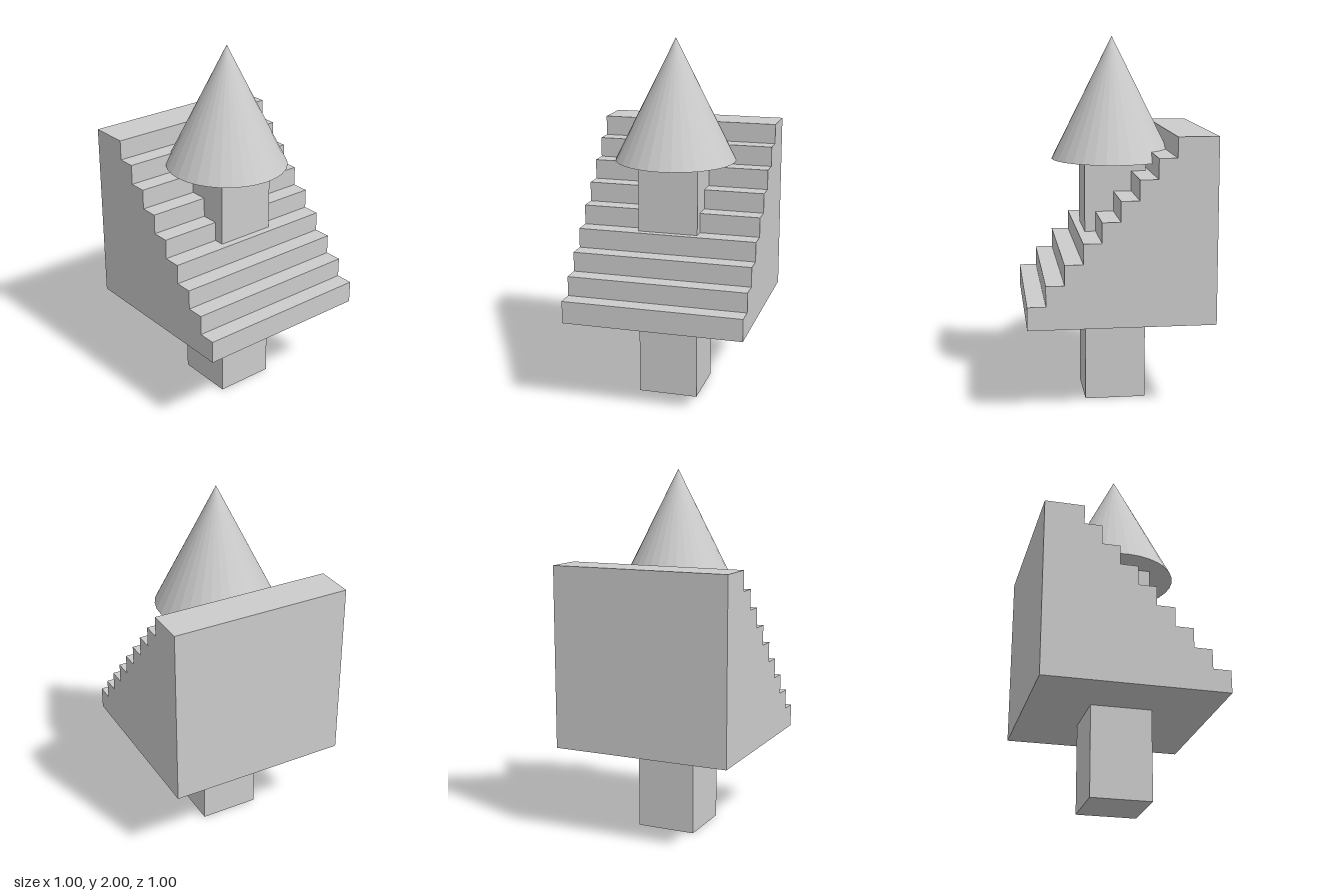
import * as THREE from 'three';

export function createModel() {
  const group = new THREE.Group();
  const material = new THREE.MeshStandardMaterial({ color: 0xcccccc, flatShading: true });

  const add = (name, geometry, y) => {
    const mesh = new THREE.Mesh(geometry, material);
    mesh.name = name;
    mesh.position.y = y;
    group.add(mesh);
  };

  // Square post running from the ground up to the roof
  const postHeight = 4 / 3;
  add('post', new THREE.BoxGeometry(1 / 3, postHeight, 1 / 3), postHeight / 2);

  // Stair block: stepped side profile extruded along z, descending towards +x
  const steps = 9, run = 0.0979, rise = 0.875 / 8;
  const profile = new THREE.Shape();
  profile.moveTo(-0.5, 0);
  profile.lineTo(0.5, 0);
  for (let i = 0; i < steps; i++) {
    const top = 0.125 + i * rise;
    profile.lineTo(0.5 - i * run, top);
    profile.lineTo(i === steps - 1 ? -0.5 : 0.5 - (i + 1) * run, top);
  }
  profile.closePath();
  const stairs = new THREE.ExtrudeGeometry(profile, { depth: 1, bevelEnabled: false });
  stairs.translate(0, 0, -0.5);
  add('stairs', stairs, 0.5);

  // Faceted conical roof
  const roofHeight = 2 / 3;
  add('roof', new THREE.ConeGeometry(1 / 3, roofHeight, 32), postHeight + roofHeight / 2);

  return group;
}
